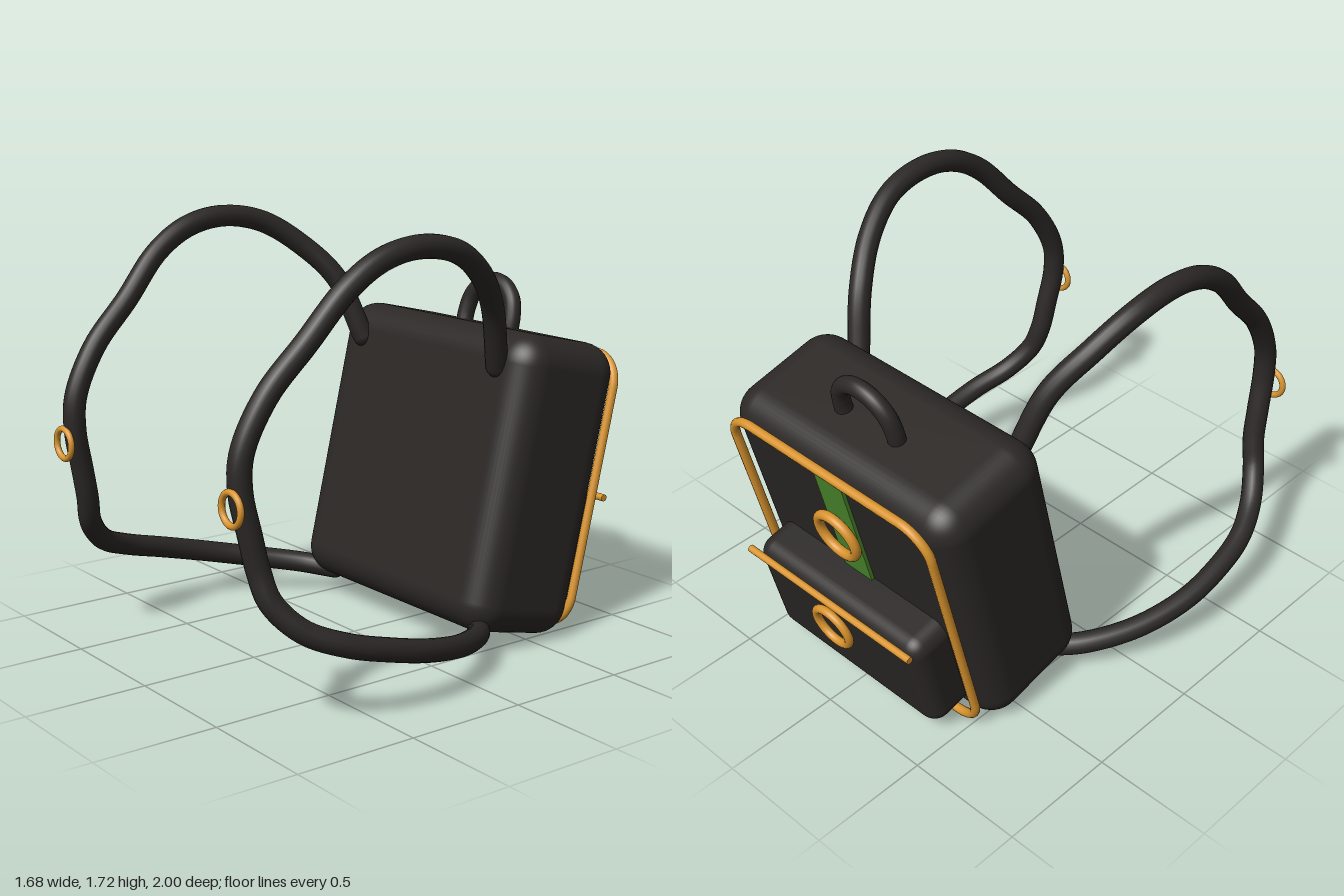
import * as THREE from 'three';
import { RoundedBoxGeometry } from 'three/addons/geometries/RoundedBoxGeometry.js';

const fabric = new THREE.MeshStandardMaterial({ color: 0x2b2826 });
const gold = new THREE.MeshStandardMaterial({ color: 0xd9942e });
const green = new THREE.MeshStandardMaterial({ color: 0x4a8a2c });

function add(parent, name, geometry, material, x = 0, y = 0, z = 0) {
  const mesh = new THREE.Mesh(geometry, material);
  mesh.name = name;
  mesh.position.set(x, y, z);
  parent.add(mesh);
  return mesh;
}

// Round cord along a smooth path, with rounded ends when it is open
function cord(parent, name, points, radius, material, segments) {
  const group = new THREE.Group();
  group.name = name;
  const path = points.map((p) => new THREE.Vector3(...p));
  const curve = new THREE.CatmullRomCurve3(path);
  add(group, name + 'Cord', new THREE.TubeGeometry(curve, segments, radius, 16), material);
  for (const end of [path[0], path[path.length - 1]]) {
    add(group, name + 'End', new THREE.SphereGeometry(radius, 16, 12), material, end.x, end.y, end.z);
  }
  parent.add(group);
}

// Closed rounded rectangle path in the xy plane
function roundedLoop(w, h, r) {
  const path = new THREE.CurvePath();
  const corners = [[1, 1], [-1, 1], [-1, -1], [1, -1]];
  const v = (x, y) => new THREE.Vector3(x, y, 0);
  const X = w / 2, Y = h / 2;
  corners.forEach(([sx, sy], i) => {
    const [nx, ny] = corners[(i + 1) % 4];
    const side = sx === sy; // corner entered along a vertical side
    const a = side ? v(sx * X, sy * (Y - r)) : v(sx * (X - r), sy * Y);
    const b = side ? v(sx * (X - r), sy * Y) : v(sx * X, sy * (Y - r));
    const k = 0.4477 * r; // handle offset for a quarter circle
    const ca = side ? v(sx * X, sy * (Y - k)) : v(sx * (X - k), sy * Y);
    const cb = side ? v(sx * (X - k), sy * Y) : v(sx * X, sy * (Y - k));
    const next = side ? v(nx * (X - r), ny * Y) : v(nx * X, ny * (Y - r));
    path.add(new THREE.CubicBezierCurve3(a, ca, cb, b));
    path.add(new THREE.LineCurve3(b, next));
  });
  return path;
}

export function createModel() {
  const model = new THREE.Group();
  model.name = 'backpack';

  // Bag leans backward; its parts are placed in the tilted frame
  const bag = new THREE.Group();
  bag.name = 'bag';
  bag.rotation.x = -0.23;
  model.add(bag);

  add(bag, 'body', new RoundedBoxGeometry(1.2, 1.21, 0.545, 6, 0.125), fabric, 0, 0.745, -0.373);
  add(bag, 'pocket', new RoundedBoxGeometry(0.92, 0.5, 0.24, 5, 0.07), fabric, 0, 0.481, -0.696);

  // Carry handle
  const handle = [[-0.142, 1.32, -0.41], [-0.142, 1.39, -0.41]];
  for (let i = 1; i < 6; i++) {
    const a = Math.PI * (1 - i / 6);
    handle.push([0.142 * Math.cos(a), 1.39 + 0.142 * Math.sin(a), -0.41]);
  }
  handle.push([0.142, 1.39, -0.41], [0.142, 1.32, -0.41]);
  cord(bag, 'handle', handle, 0.036, fabric, 48);

  // Trim on the outer panel
  add(bag, 'piping', new THREE.TubeGeometry(roundedLoop(1.07, 1.14, 0.13), 240, 0.019, 12, true), gold, 0, 0.747, -0.668);
  add(bag, 'stripe', new THREE.BoxGeometry(0.15, 0.58, 0.02), green, 0, 0.98, -0.65);
  add(bag, 'panelRing', new THREE.TorusGeometry(0.1, 0.021, 14, 48), gold, 0, 0.985, -0.695);
  add(bag, 'pocketRing', new THREE.TorusGeometry(0.09, 0.018, 14, 48), gold, 0, 0.58, -0.847);
  const zip = add(bag, 'pocketZip', new THREE.CylinderGeometry(0.015, 0.015, 0.91, 14), gold, 0, 0.719, -0.832);
  zip.rotation.z = Math.PI / 2;

  // Shoulder straps, mirrored left and right
  const strap = [
    [0.43, 1.142, -0.377], [0.5, 1.393, -0.286], [0.58, 1.543, -0.152], [0.63, 1.644, 0.008],
    [0.645, 1.677, 0.195], [0.645, 1.645, 0.366], [0.638, 1.553, 0.516], [0.615, 1.377, 0.676],
    [0.6, 1.206, 0.837], [0.59, 1.019, 0.933], [0.59, 0.885, 0.942], [0.6, 0.725, 0.912],
    [0.612, 0.59, 0.885], [0.645, 0.479, 0.858], [0.71, 0.372, 0.767], [0.77, 0.307, 0.623],
    [0.793, 0.254, 0.436], [0.782, 0.206, 0.249], [0.715, 0.158, 0.035], [0.6, 0.125, -0.15],
    [0.48, 0.105, -0.26],
  ];
  for (const [side, s] of [['left', 1], ['right', -1]]) {
    cord(model, side + 'Strap', strap.map(([x, y, z]) => [x * s, y, z]), 0.045, fabric, 140);
    add(model, side + 'StrapRing', new THREE.TorusGeometry(0.06, 0.013, 12, 40), gold, 0.6 * s, 0.83, 0.987);
  }
  return model;
}
